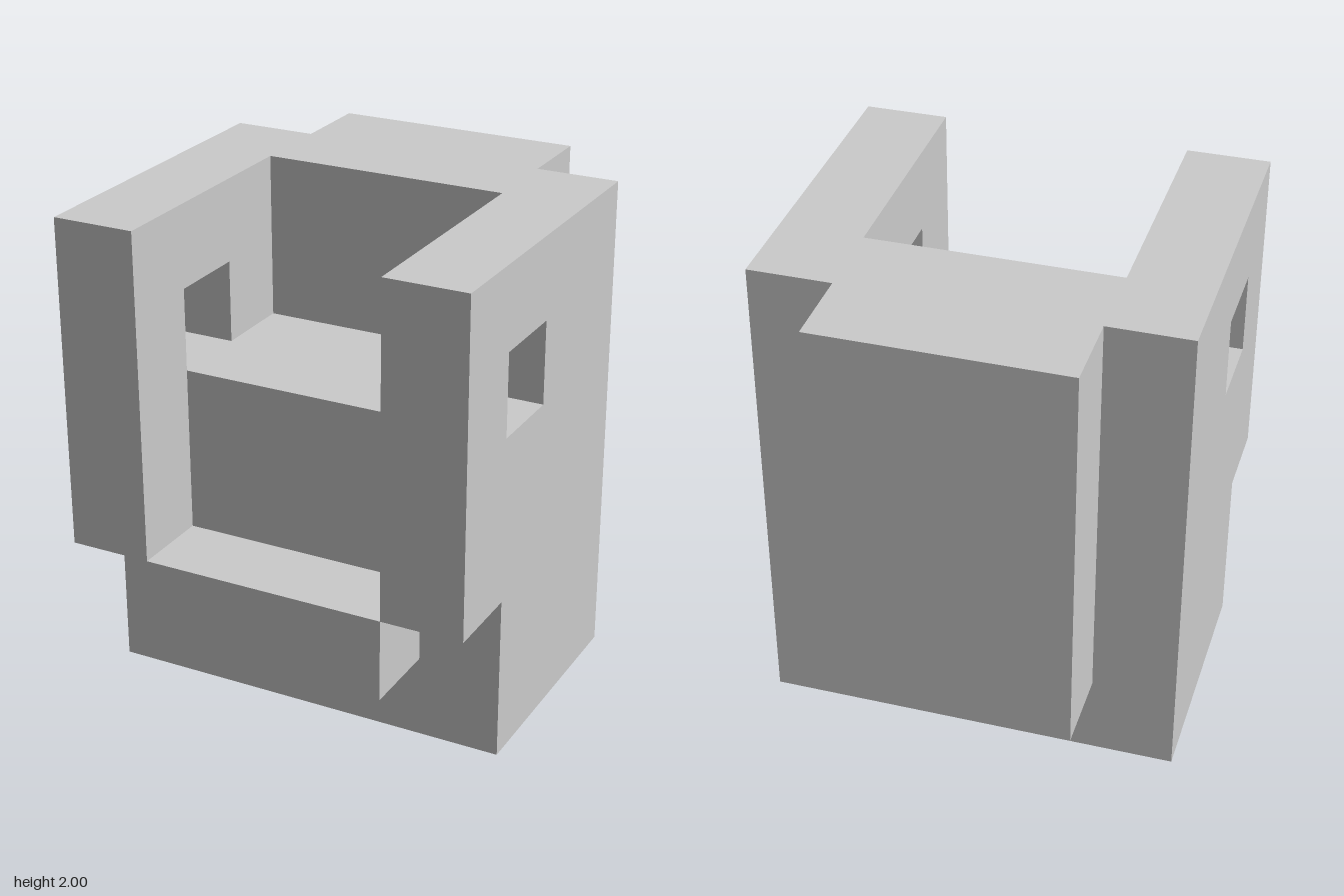
import * as THREE from 'three';

const U = 1 / 6; // grid unit: every dimension is a whole number of these

// Extrudes a side profile, given as [z, y] in grid units, along x between x0 and x1
function sideSlab(name, profile, x0, x1, material, hole) {
  const toPoints = (list) => list.map(([z, y]) => new THREE.Vector2(z * U, y * U));
  const shape = new THREE.Shape(toPoints(profile));
  if (hole) shape.holes.push(new THREE.Path(toPoints(hole)));
  const geometry = new THREE.ExtrudeGeometry(shape, { depth: (x1 - x0) * U, bevelEnabled: false });
  geometry.rotateY(-Math.PI / 2); // profile x becomes z, depth runs towards -x
  geometry.translate(x1 * U, 0, 0);
  const mesh = new THREE.Mesh(geometry, material);
  mesh.name = name;
  return mesh;
}

export function createModel() {
  const model = new THREE.Group();
  model.name = 'blockBody';
  const grey = new THREE.MeshStandardMaterial({ color: 0xcccccc, flatShading: true });

  // Middle: base, front ledge, recess floor, back wall and rear block
  const core = [
    [-3, 0], [3, 0], [3, 2], [5, 2], [5, 4], [3, 4], [3, 8],
    [-1, 8], [-1, 12], [-5, 12], [-5, 2], [-3, 2],
  ];
  model.add(sideSlab('core', core, -3, 3, grey));

  // Side walls: overhang at the front, square window through each
  const wall = [[-3, 0], [3, 0], [3, 4], [5, 4], [5, 12], [-3, 12]];
  const window = [[1, 8], [1, 10], [3, 10], [3, 8]];
  model.add(sideSlab('leftWall', wall, 3, 5, grey, window));
  model.add(sideSlab('rightWall', wall, -5, -3, grey, window));

  return model;
}
